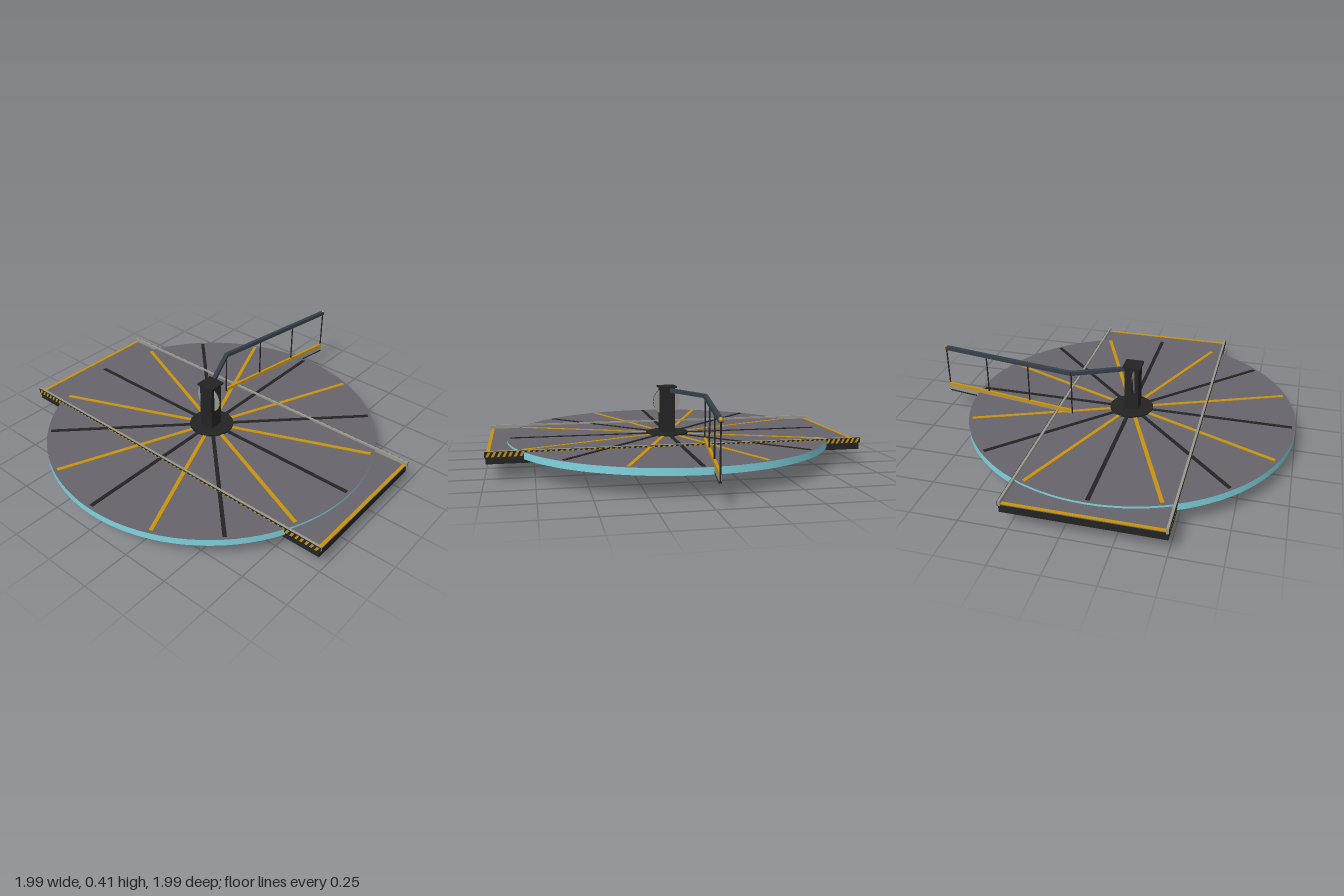
import * as THREE from 'three';

const mat = (name, color, side = THREE.FrontSide) => {
  const m = new THREE.MeshStandardMaterial({ color, side });
  m.name = name;
  return m;
};

export function createModel() {
  const root = new THREE.Group();
  root.name = 'turntable';
  const black = mat('black steel', 0x232323);
  const floor = mat('floor grey', 0x67646b);
  const yellow = mat('safety yellow', 0xc8930f);
  const teal = mat('teal rim', 0x7fd4e0);
  const light = mat('light grey', 0x98988e);
  const slate = mat('slate handrail', 0x35404a);
  const mid = mat('shaft grey', 0x6e6c6c);

  const add = (name, geo, material, parent = root) => {
    const m = new THREE.Mesh(geo, material);
    m.name = name;
    parent.add(m);
    return m;
  };
  // Box given by its extents
  const box = (name, x0, x1, y0, y1, z0, z1, material, parent) => {
    const m = add(name, new THREE.BoxGeometry(x1 - x0, y1 - y0, z1 - z0), material, parent);
    m.position.set((x0 + x1) / 2, (y0 + y1) / 2, (z0 + z1) / 2);
    return m;
  };
  // Level beam between two floor points [x, z]
  const beam = (name, a, b, y0, y1, w, material) => {
    const dx = b[0] - a[0], dz = b[1] - a[1];
    const m = add(name, new THREE.BoxGeometry(w, y1 - y0, Math.hypot(dx, dz)), material);
    m.position.set((a[0] + b[0]) / 2, (y0 + y1) / 2, (a[1] + b[1]) / 2);
    m.rotation.y = Math.atan2(dx, dz);
    return m;
  };
  // Slanted hazard stripes in the xy plane
  const stripes = (name, x0, x1, y0, y1, count) => {
    const step = (x1 - x0) / count, shapes = [];
    for (let i = 0; i < count; i++) {
      const x = x0 + i * step;
      shapes.push(new THREE.Shape([
        new THREE.Vector2(x, y0), new THREE.Vector2(x + step * 0.5, y0),
        new THREE.Vector2(x + step, y1), new THREE.Vector2(x + step * 0.5, y1),
      ]));
    }
    return add(name, new THREE.ShapeGeometry(shapes), yellow);
  };

  // Round platform with teal rim
  const CZ = 0.1, R = 0.893;
  const disc = add('platform', new THREE.CylinderGeometry(R, R, 0.036, 96), [teal, floor, floor]);
  disc.position.set(0, 0.122, CZ);

  // Radial floor markings, alternating black and yellow
  const spokes = new THREE.Group();
  spokes.name = 'floorMarkings';
  spokes.position.set(0, 0.141, CZ);
  root.add(spokes);
  for (let i = 0; i < 16; i++) {
    const arm = new THREE.Group();
    arm.rotation.y = (i * Math.PI) / 8;
    spokes.add(arm);
    box('marking', 0.11, 0.875, -0.002, 0.002, -0.01, 0.01, i % 2 ? yellow : black, arm);
  }

  // Straight deck crossing the platform
  box('deck', -0.99, 0.99, 0.085, 0.125, -0.29, 0.5, black);
  box('deckFloor', -0.99, 0.99, 0.125, 0.129, -0.285, 0.495, floor);
  for (const s of [-1, 1]) {
    const e = box('deckEndStrip', -0.009, 0.009, 0.128, 0.132, -0.28, 0.49, yellow);
    e.position.x = s * 0.98;
  }

  // Side rails with hazard stripes on the outer faces
  for (const [z, s] of [[0.495, 1], [-0.285, -1]]) {
    box('rail', -0.995, 0.995, 0.122, 0.15, z - 0.006, z + 0.006, light);
    box('railStripeBase', -0.995, 0.995, 0.12, 0.148, z + s * 0.0075 - 0.0015, z + s * 0.0075 + 0.0015, black);
    const st = stripes('railStripes', -0.99, 0.99, 0.121, 0.147, 72);
    st.position.z = z + s * 0.0098;
    if (s < 0) st.rotation.y = Math.PI;
  }

  // Centre post with base, cap and round sign
  const base = add('postBase', new THREE.CylinderGeometry(0.119, 0.119, 0.012, 48), black);
  base.position.set(0, 0.143, CZ);
  box('post', -0.04, 0.04, 0.14, 0.402, 0.067, 0.145, black);
  box('postCap', -0.05, 0.05, 0.4, 0.409, 0.057, 0.155, black);
  const sign = add('roundDial', new THREE.CylinderGeometry(0.077, 0.077, 0.01, 40), [black, light, light]);
  sign.rotation.x = Math.PI / 2;
  sign.position.set(0, 0.32, 0.118);

  // Handrail: bent bar, posts and kickboard
  const A = [-0.02, 0.07], B = [-0.148, -0.2], C = [-0.021, -0.985];
  beam('handrailInner', A, B, 0.375, 0.396, 0.021, slate);
  beam('handrailOuter', B, C, 0.375, 0.396, 0.021, slate);
  const tip = add('handrailTip', new THREE.SphereGeometry(0.011, 12, 8), yellow);
  tip.position.set(C[0], 0.389, C[1]);
  for (let i = 0; i < 4; i++) {
    const t = i / 3;
    const p = add('handrailPost', new THREE.CylinderGeometry(0.004, 0.004, 0.26, 8), black);
    p.position.set(B[0] + (C[0] - B[0]) * t, 0.25, B[1] + (C[1] - B[1]) * t);
  }
  beam('kickboardFoot', B, C, 0.112, 0.12, 0.014, black);
  beam('kickboard', B, C, 0.12, 0.147, 0.012, light);
  beam('kickboardStripe', B, C, 0.147, 0.162, 0.014, yellow);

  // Drive housing below the deck, with light panels in a dark frame
  box('housing', 0.1, 0.49, 0.004, 0.086, -0.19, 0.2, black);
  box('housingFrontPanel', 0.107, 0.482, 0.014, 0.074, 0.198, 0.203, light);
  box('housingEndPanel', 0.488, 0.493, 0.014, 0.066, -0.178, 0.19, light);
  box('housingLabel', 0.492, 0.495, 0.034, 0.074, 0.008, 0.017, yellow);
  box('motorBay', -0.1, 0.1, 0.004, 0.086, -0.19, 0.2, black);
  box('bottomPlate', -0.16, 0.49, 0, 0.008, -0.19, 0.2, black);
  box('hatch', -0.082, -0.03, -0.0005, 0.003, 0.14, 0.19, mid);

  // Striped bumper on the front of the motor bay
  box('bumper', -0.1, 0.1, 0.01, 0.072, 0.2, 0.232, black);
  stripes('bumperStripes', -0.097, 0.097, 0.014, 0.038, 9).position.z = 0.2335;

  // Drive shaft and its hangers
  const shaft = add('driveShaft', new THREE.CylinderGeometry(0.02, 0.02, 0.785, 20), mid);
  shaft.rotation.x = Math.PI / 2;
  shaft.position.set(0, 0.063, 0.105);
  for (const z of [0.462, -0.248]) box('shaftHanger', -0.024, 0.024, 0.06, 0.09, z - 0.018, z + 0.018, black);

  return root;
}
